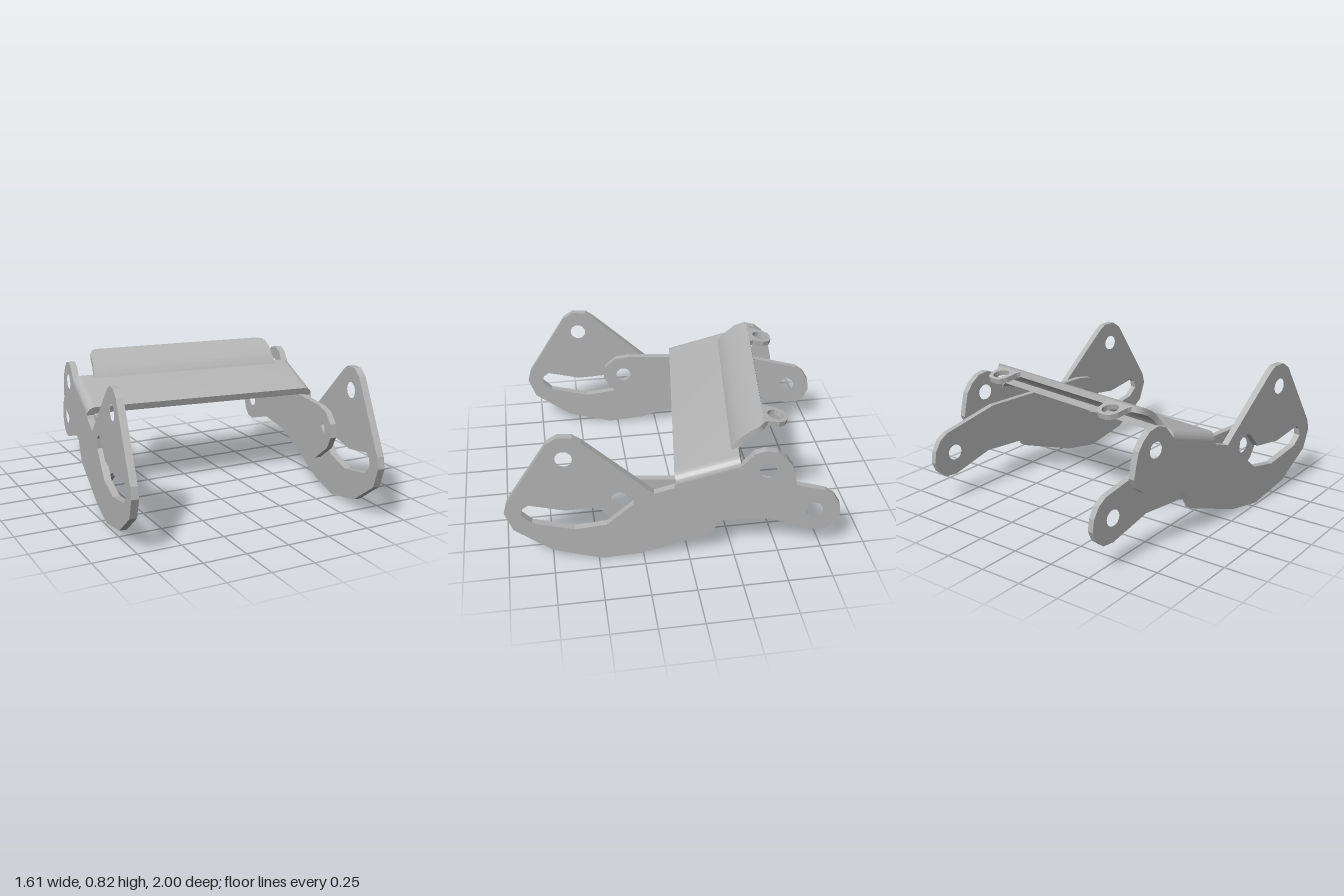
import * as THREE from 'three';
import { toCreasedNormals } from 'three/addons/utils/BufferGeometryUtils.js';

const steel = new THREE.MeshStandardMaterial({ color: 0xb4b4b4 });
steel.name = 'grey steel';

const shapeFrom = pts => new THREE.Shape(pts.map(p => new THREE.Vector2(...p)));

function addHole(shape, x, y, r) {
  shape.holes.push(new THREE.Path().absarc(x, y, r, 0, Math.PI * 2, true));
}

function extrude(shape, depth, curveSegments = 8) {
  return new THREE.ExtrudeGeometry(shape, { depth, bevelEnabled: false, curveSegments });
}

function part(name, geometry) {
  const mesh = new THREE.Mesh(geometry, steel);
  mesh.name = name;
  return mesh;
}

// Upright plate drawn in (z, y), centred on the given x
function uprightPlate(name, shape, x, thickness) {
  const geo = extrude(shape, thickness);
  geo.translate(0, 0, -thickness / 2);
  geo.rotateY(-Math.PI / 2);
  const mesh = part(name, geo);
  mesh.position.x = x;
  return mesh;
}

// Curled lip: four-cornered cross-sections swept along a curve
function lipGeometry(path, halfWidths, thickness) {
  const pos = [], idx = [];
  path.forEach(([z, y], i) => {
    const a = path[Math.max(i - 1, 0)], b = path[Math.min(i + 1, path.length - 1)];
    const len = Math.hypot(b[0] - a[0], b[1] - a[1]);
    const nz = (b[1] - a[1]) / len * thickness / 2, ny = -(b[0] - a[0]) / len * thickness / 2;
    const h = halfWidths[i];
    pos.push(-h, y + ny, z + nz, h, y + ny, z + nz, h, y - ny, z - nz, -h, y - ny, z - nz);
  });
  const last = (path.length - 1) * 4;
  for (let i = 0; i < last; i += 4)
    for (let k = 0; k < 4; k++) {
      const a = i + k, b = i + (k + 1) % 4;
      idx.push(a, b, b + 4, a, b + 4, a + 4);
    }
  idx.push(0, 2, 1, 0, 3, 2, last, last + 1, last + 2, last, last + 2, last + 3);
  const geo = new THREE.BufferGeometry();
  geo.setAttribute('position', new THREE.Float32BufferAttribute(pos, 3));
  geo.setIndex(idx);
  return toCreasedNormals(geo, 0.6);
}

export function createModel() {
  const root = new THREE.Group();
  root.name = 'hingeBracket';
  const bracket = new THREE.Group();
  bracket.name = 'bracketAssembly';
  bracket.position.set(0.014, 0, 0.002);
  const turn = new THREE.Group();
  turn.name = 'turnedBracket';
  turn.rotation.y = -0.129;
  turn.add(bracket);
  root.add(turn);

  // Side plate with front eye, bent slot and rear eye
  const side = shapeFrom([
    [0.52, 0.815], [0.6, 0.817], [0.655, 0.78], [0.896, 0.39], [0.912, 0.326], [0.869, 0.209],
    [0.659, 0.064], [0.389, 0], [0.173, 0.032], [-0.21, 0.166], [-0.235, 0.215], [-0.274, 0.283],
    [-0.59, 0.38], [-0.638, 0.415], [-0.668, 0.476], [-0.651, 0.56], [-0.635, 0.62],
    [-0.598, 0.67], [-0.55, 0.708], [-0.49, 0.72], [-0.43, 0.7], [-0.355, 0.61],
    [-0.02, 0.505], [-0.01, 0.485], [0.098, 0.449], [0.475, 0.785],
  ]);
  addHole(side, 0.57, 0.684, 0.046);
  addHole(side, -0.506, 0.594, 0.046);
  side.holes.push(shapeFrom([
    [0.82, 0.31], [0.81, 0.355], [0.777, 0.38], [0.578, 0.342], [0.384, 0.364], [0.308, 0.455],
    [0.254, 0.47], [0.21, 0.438], [0.21, 0.38], [0.357, 0.24], [0.535, 0.209], [0.766, 0.257],
  ]));

  // Inner link with an eye at each end
  const link = shapeFrom([
    [0.25, 0.515], [0.34, 0.5], [0.405, 0.44], [0.415, 0.36], [0.37, 0.285], [0.22, 0.18],
    [0.12, 0.155], [-0.05, 0.16], [-0.2, 0.205], [-0.26, 0.225], [-0.53, 0.235], [-0.78, 0.157],
    [-0.85, 0.16], [-0.9, 0.2], [-0.925, 0.26], [-0.915, 0.33], [-0.88, 0.39], [-0.83, 0.425],
    [-0.48, 0.51],
  ]);
  addHole(link, 0.287, 0.385, 0.046);
  addHole(link, -0.78, 0.294, 0.046);

  // Tab with an eye, drawn in (x, rearward)
  const tab = shapeFrom([
    [-0.1, 0], [0.1, 0], [0.078, 0.035], [0.07, 0.1], [0.05, 0.135], [0.025, 0.148],
    [-0.025, 0.148], [-0.05, 0.135], [-0.07, 0.1], [-0.078, 0.035],
  ]);
  addHole(tab, 0, 0.083, 0.046);

  for (const [label, s] of [['left', 1], ['right', -1]]) {
    bracket.add(uprightPlate(label + 'SidePlate', side, s * 0.688, 0.04));
    bracket.add(uprightPlate(label + 'Link', link, s * 0.65, 0.035));

    const geo = extrude(tab, 0.03);
    geo.rotateX(-Math.PI / 2);
    const eye = part(label + 'Tab', geo);
    eye.position.set(s * 0.4385, 0.757, -0.475);
    eye.rotation.x = -0.2;
    bracket.add(eye);
  }

  // Sloping top panel with bent-down edges
  const W = 0.708, T = 0.042, R = 0.05, D = 0.08, L = 0.36;
  const arch = new THREE.Shape();
  arch.moveTo(-W, -D);
  arch.lineTo(-W + T, -D);
  arch.lineTo(-W + T, -T - 0.02);
  arch.lineTo(-W + T + 0.02, -T);
  arch.lineTo(W - T - 0.02, -T);
  arch.lineTo(W - T, -T - 0.02);
  arch.lineTo(W - T, -D);
  arch.lineTo(W, -D);
  arch.lineTo(W, -R);
  arch.absarc(W - R, -R, R, 0, Math.PI / 2, false);
  arch.lineTo(-W + R, 0);
  arch.absarc(-W + R, -R, R, Math.PI / 2, Math.PI, false);
  const panelGeo = extrude(arch, L, 6);
  panelGeo.translate(0, 0, -L);
  const panel = part('topPanel', toCreasedNormals(panelGeo, 0.6));
  panel.position.set(0, 0.556, -0.01);
  panel.rotation.x = 0.3;
  bracket.add(panel);

  // Curled rear lip
  const path = [[-0.325, 0.632], [-0.343, 0.668], [-0.373, 0.705], [-0.413, 0.738],
    [-0.453, 0.76], [-0.478, 0.769], [-0.495, 0.773]];
  bracket.add(part('rearLip', lipGeometry(path, [0.6, 0.588, 0.583, 0.583, 0.578, 0.565, 0.54], 0.034)));

  return root;
}
